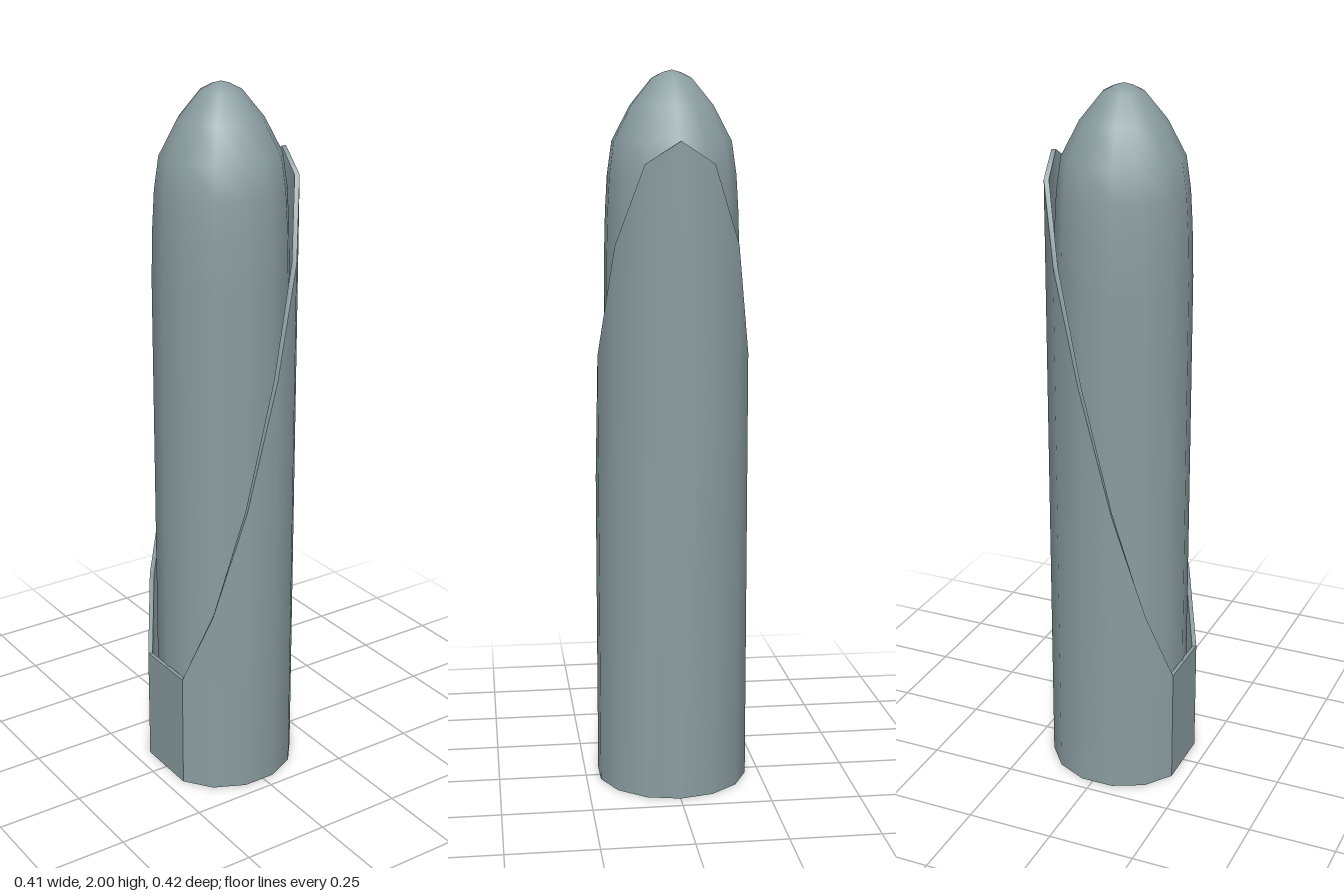
import * as THREE from 'three';

const SIDES = 14;

// Joins two matching rows of points with a smooth-shaded strip
function strip(lower, upper) {
  const index = [];
  const n = lower.length;
  for (let i = 0; i < n - 1; i++) {
    index.push(i, n + i, i + 1, n + i, n + i + 1, i + 1);
  }
  const geometry = new THREE.BufferGeometry().setFromPoints([...lower, ...upper]);
  geometry.setIndex(index);
  geometry.computeVertexNormals();
  return geometry;
}

export function createModel() {
  const model = new THREE.Group();
  const greyBlue = new THREE.MeshStandardMaterial({ color: 0x8a9da0 });
  greyBlue.name = 'grey blue';

  const add = (parent, name, geometry) => {
    const mesh = new THREE.Mesh(geometry, greyBlue);
    mesh.name = name;
    parent.add(mesh);
    return mesh;
  };

  // Rounded core with a pointed nose
  const core = new THREE.Group();
  core.name = 'core';
  core.position.x = -0.0075;
  model.add(core);
  const profile = [
    [0.188, 0.005], [0.188, 1.48], [0.184, 1.62], [0.178, 1.72], [0.165, 1.81],
    [0.115, 1.905], [0.055, 1.978], [0.025, 1.993], [0, 2],
  ].map(([r, y]) => new THREE.Vector2(r, y));
  add(core, 'coreBody', new THREE.LatheGeometry(profile, SIDES, Math.PI / 2));
  const base = add(core, 'coreBase', new THREE.CircleGeometry(0.188, SIDES));
  base.rotation.x = Math.PI / 2;
  base.position.y = 0.005;

  // Open sleeve around the core, cut on a slant and flattened on its low side
  const sleeve = new THREE.Group();
  sleeve.name = 'sleeve';
  model.add(sleeve);
  const cutHeights = [1.81, 1.75, 1.535, 1.23, 0.87, 0.555, 0.34];
  const ring = (radius, flatX, top) => {
    const points = [];
    for (let i = -6; i <= 6; i++) {
      const a = (i / SIDES) * Math.PI * 2;
      const x = Math.max(-0.0135 + radius * Math.cos(a), flatX);
      points.push(new THREE.Vector3(x, top ? cutHeights[Math.abs(i)] : 0, radius * Math.sin(a)));
    }
    return points;
  };
  const outerLow = ring(0.2155, -0.203, false);
  const outerTop = ring(0.2155, -0.203, true);
  const innerLow = ring(0.202, -0.192, false);
  const innerTop = ring(0.202, -0.192, true);

  // The curved wall, then the flat panel that closes it
  const closing = (row) => [row[12], row[0]];
  for (const [part, pick] of [['Curved', (row) => row], ['Flat', closing]]) {
    add(sleeve, 'outer' + part + 'Wall', strip(pick(outerLow), pick(outerTop)));
    add(sleeve, 'inner' + part + 'Wall', strip(pick(innerTop), pick(innerLow)));
    add(sleeve, 'top' + part + 'Rim', strip(pick(outerTop), pick(innerTop)));
    add(sleeve, 'bottom' + part + 'Rim', strip(pick(innerLow), pick(outerLow)));
  }

  return model;
}
